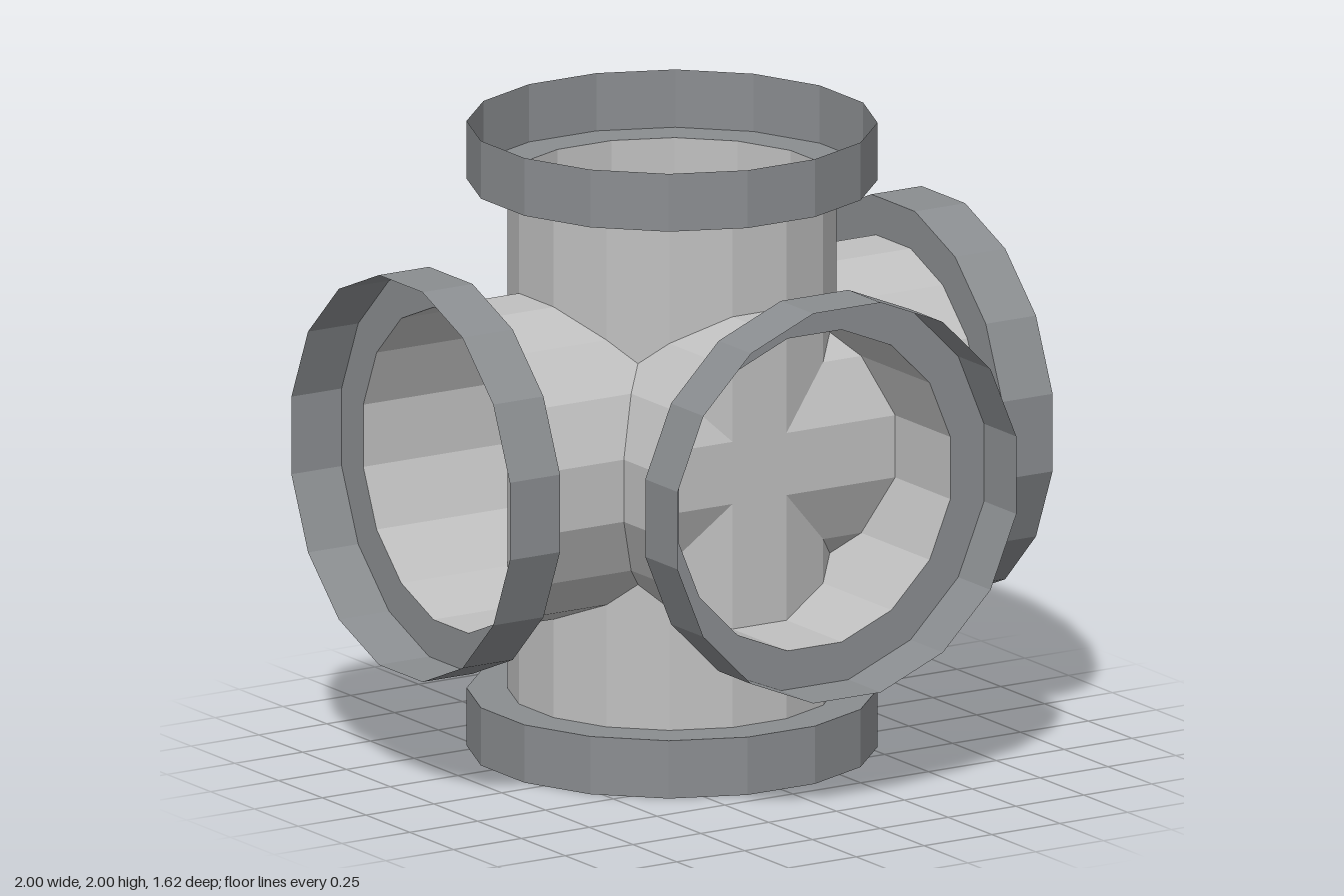
import * as THREE from 'three';

const SIDES = 16;
const TURN = Math.PI / SIDES; // puts flats, not corners, on the axes
const PIPE_R = 0.5 / Math.cos(TURN);
const FLANGE_R = 0.624 / Math.cos(TURN);
const FLANGE_H = 0.185;

export function createModel() {
  const pipeMat = new THREE.MeshStandardMaterial({ color: 0xc0c0c0, flatShading: true, side: THREE.DoubleSide });
  pipeMat.name = 'light grey pipe';
  const flangeMat = new THREE.MeshStandardMaterial({ color: 0x8a8d90, flatShading: true, side: THREE.DoubleSide });
  flangeMat.name = 'dark grey flange';

  const model = new THREE.Group();
  model.name = 'pipeCross';
  const hub = new THREE.Group();
  hub.name = 'fittingBody';
  hub.position.set(0, 1, -0.19);
  model.add(hub);

  // Open tube along local y between two heights
  const tube = (radius, from, to) =>
    new THREE.CylinderGeometry(radius, radius, to - from, SIDES, 1, true, TURN)
      .translate(0, (from + to) / 2, 0);

  const addMesh = (parent, name, geometry, material) => {
    const mesh = new THREE.Mesh(geometry, material);
    mesh.name = name;
    parent.add(mesh);
  };

  // Each run is a straight pipe; the front branch starts at the hub centre
  const end = 1 - FLANGE_H;
  const runs = [
    { name: 'vertical', rotation: [0, 0, 0], ends: [1, -1] },
    { name: 'horizontal', rotation: [0, 0, -Math.PI / 2], ends: [1, -1] },
    { name: 'frontBranch', rotation: [Math.PI / 2, 0, 0], ends: [1] },
  ];
  for (const { name, rotation, ends } of runs) {
    const run = new THREE.Group();
    run.name = name + 'Run';
    run.rotation.set(...rotation);
    hub.add(run);
    addMesh(run, name + 'Pipe', tube(PIPE_R, ends.length > 1 ? -end : 0, end), pipeMat);

    // Flange: an open collar with a flat ring joining it to the pipe
    for (const s of ends) {
      const flange = new THREE.Group();
      flange.name = name + 'Flange';
      if (s < 0) flange.rotation.x = Math.PI;
      run.add(flange);
      addMesh(flange, 'collar', tube(FLANGE_R, end, 1), flangeMat);
      const ring = new THREE.RingGeometry(PIPE_R, FLANGE_R, SIDES, 1, TURN)
        .rotateX(-Math.PI / 2).translate(0, end, 0);
      addMesh(flange, 'shoulderRing', ring, flangeMat);
    }
  }
  return model;
}
